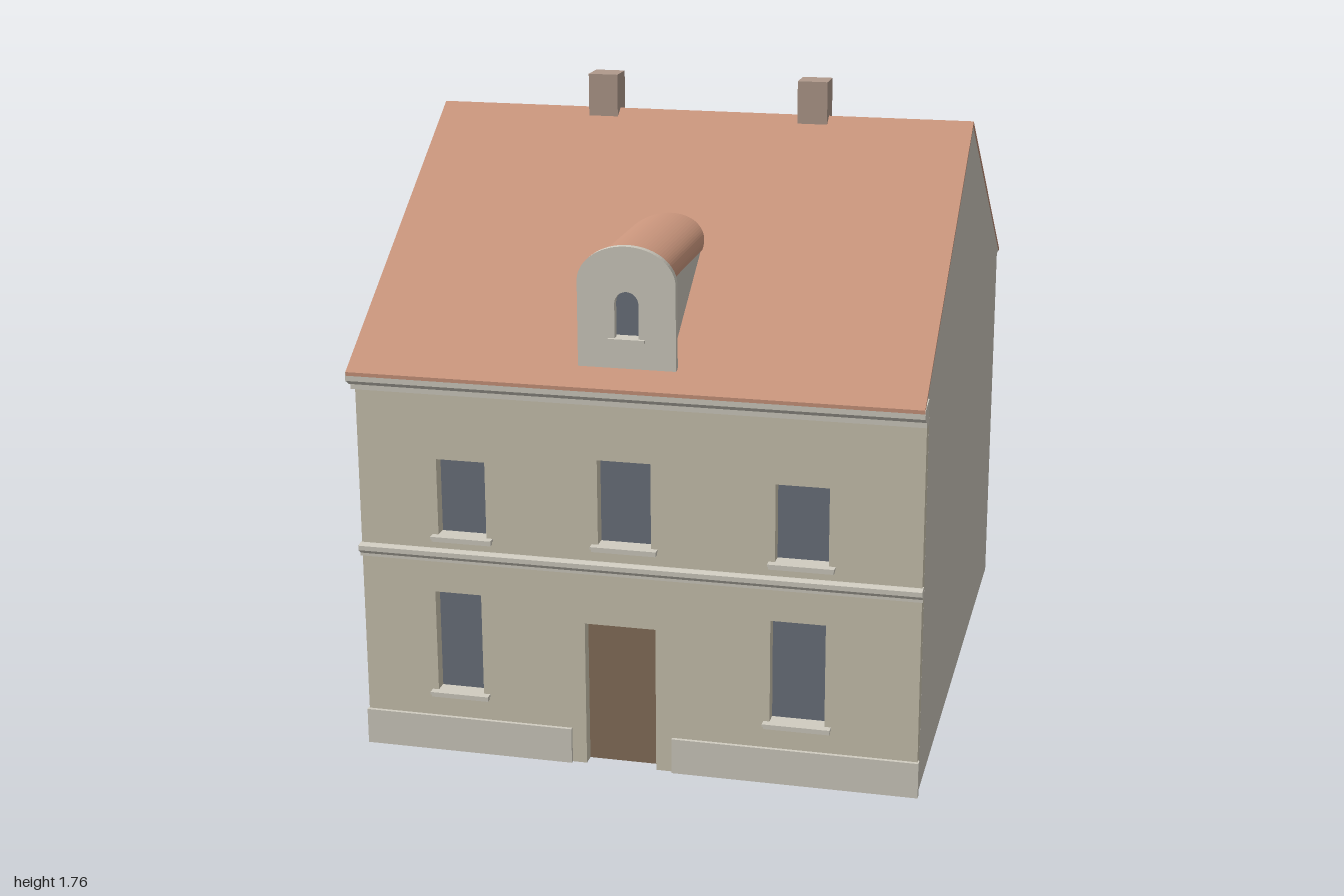
import * as THREE from 'three';

const mat = (color) => new THREE.MeshStandardMaterial({ color, flatShading: true });
const MAT = {
  wall: mat(0xc9c4ba), facade: mat(0xcbc4b0), trim: mat(0xd0ccc0), roof: mat(0xc9957c),
  chimney: mat(0xb09a8c), glass: mat(0x6c727d), door: mat(0x86705a),
};

// The plan is slightly skewed: the left and right walls spread towards the back
const leftX = (z) => -0.755 - 0.015 * (0.94 - z);
const rightX = (z) => 0.775 + 0.003 * (0.94 - z);

export function createModel() {
  const house = new THREE.Group();
  house.name = 'house';

  const add = (name, geometry, material) => {
    const mesh = new THREE.Mesh(geometry, material);
    mesh.name = name;
    house.add(mesh);
    return mesh;
  };

  // Box given by its limits
  const box = (name, material, x0, x1, y0, y1, z0, z1) => {
    const g = new THREE.BoxGeometry(x1 - x0, y1 - y0, z1 - z0);
    g.translate((x0 + x1) / 2, (y0 + y1) / 2, (z0 + z1) / 2);
    return add(name, g, material);
  };

  // Prism running along x between two side lines, from a [z, y] profile
  const prism = (name, material, profile, left = leftX, right = rightX) => {
    const shape = new THREE.Shape(profile.map(([z, y]) => new THREE.Vector2(z, y)));
    const g = new THREE.ExtrudeGeometry(shape, { depth: 1, bevelEnabled: false });
    g.rotateY(-Math.PI / 2);
    const p = g.attributes.position;
    for (let i = 0; i < p.count; i++) {
      const z = p.getZ(i);
      p.setX(i, THREE.MathUtils.lerp(right(z), left(z), -p.getX(i)));
    }
    g.computeVertexNormals();
    return add(name, g, material);
  };

  // Upright extrusion of an xy shape, from z0 to z1
  const plate = (name, material, shape, z0, z1) => {
    const g = new THREE.ExtrudeGeometry(shape, { depth: z1 - z0, bevelEnabled: false, curveSegments: 20 });
    g.translate(0, 0, z0);
    return add(name, g, material);
  };

  const rectPath = (x0, x1, y0, y1) => new THREE.Path([
    new THREE.Vector2(x0, y0), new THREE.Vector2(x0, y1),
    new THREE.Vector2(x1, y1), new THREE.Vector2(x1, y0),
  ]);

  // Rectangle with an elliptical arch on top
  const arch = (Type, x0, x1, y0, spring, top) => {
    const s = new Type();
    s.moveTo(x0, y0);
    s.lineTo(x1, y0);
    s.lineTo(x1, spring);
    s.absellipse((x0 + x1) / 2, spring, (x1 - x0) / 2, top - spring, 0, Math.PI, false);
    s.lineTo(x0, y0);
    return s;
  };

  // Main body with gables, and the roof over it
  prism('houseBody', MAT.wall, [
    [0.9, 0], [0.9, 1.085], [0.99, 1.085], [0.1, 1.652], [-0.785, 1.085], [-0.74, 1.085], [-0.74, 0],
  ]);
  prism('mainRoof', MAT.roof, [
    [1, 1.09], [0.1, 1.66], [-0.79, 1.09], [-0.79, 1.083], [0.1, 1.65], [1, 1.08],
  ], (z) => leftX(z) - 0.002, (z) => rightX(z) + 0.002);

  // Facade with openings for the windows and a notch for the door
  const facade = new THREE.Shape([
    [leftX(0.94), 0], [-0.13, 0], [-0.13, 0.41], [0.065, 0.41], [0.065, 0],
    [0.775, 0], [0.775, 1.085], [leftX(0.94), 1.085],
  ].map(([x, y]) => new THREE.Vector2(x, y)));
  const windows = [
    [-0.55, -0.42, 0.175, 0.465], [0.377, 0.525, 0.175, 0.465],
    [-0.535, -0.4, 0.63, 0.845], [-0.09, 0.055, 0.638, 0.875], [0.388, 0.53, 0.63, 0.845],
  ];
  for (const [x0, x1, y0, y1] of windows) {
    facade.holes.push(rectPath(x0, x1, y0, y1));
    box('windowPane', MAT.glass, x0, x1, y0, y1, 0.895, 0.904);
    box('windowSill', MAT.trim, x0 - 0.015, x1 + 0.016, y0 - 0.015, y0 - 0.005, 0.905, 0.956);
    box('windowSillCap', MAT.trim, x0 - 0.017, x1 + 0.018, y0 - 0.006, y0 + 0.001, 0.905, 0.962);
  }
  plate('facade', MAT.facade, facade, 0.9, 0.94);
  box('door', MAT.door, -0.13, 0.065, 0, 0.41, 0.895, 0.905);

  // Plinth on both sides of the door
  box('plinthRight', MAT.trim, -0.758, -0.17, 0, 0.1, 0.93, 0.95);
  box('plinthLeft', MAT.trim, 0.11, 0.779, 0, 0.1, 0.93, 0.95);

  // String course and eaves cornice
  const bandLeft = () => -0.758, bandRight = () => 0.778;
  prism('stringCourse', MAT.trim, [
    [0.93, 0.555], [0.948, 0.555], [0.948, 0.563], [0.962, 0.575], [0.962, 0.588], [0.945, 0.592], [0.93, 0.592],
  ], bandLeft, bandRight);
  prism('cornice', MAT.trim, [
    [0.93, 1.033], [0.965, 1.033], [0.965, 1.05], [0.975, 1.05], [0.998, 1.065], [0.998, 1.088], [0.93, 1.1],
  ], bandLeft, bandRight);

  // Rear annex and its lean-to roof
  prism('annex', MAT.wall, [
    [-0.72, 0], [-0.72, 1.12], [-0.975, 1.088], [-0.975, 0],
  ], () => -0.44, () => 0.4);
  prism('annexRoof', MAT.roof, [
    [-0.72, 1.135], [-1, 1.093], [-1, 1.085], [-0.72, 1.12],
  ], () => -0.47, () => 0.43);

  // Dormer: cheeks, barrel roof, arched front with a recessed window
  box('dormerCheeks', MAT.wall, -0.113, 0.105, 1.1, 1.37, 0.4, 0.9);
  plate('dormerRoof', MAT.roof, arch(THREE.Shape, -0.117, 0.109, 1.365, 1.372, 1.437), 0.4, 0.932);
  for (const [x0, x1] of [[-0.113, -0.05], [0.042, 0.105]]) {
    box('dormerCheekEnd', MAT.wall, x0, x1, 1.1, 1.37, 0.89, 0.93);
  }
  const front = arch(THREE.Shape, -0.135, 0.126, 1.132, 1.358, 1.455);
  front.holes.push(arch(THREE.Path, -0.036, 0.028, 1.212, 1.303, 1.336));
  plate('dormerFront', MAT.trim, front, 0.925, 0.945);
  box('dormerPane', MAT.glass, -0.05, 0.042, 1.2, 1.345, 0.9, 0.91);
  box('dormerSill', MAT.trim, -0.052, 0.045, 1.204, 1.212, 0.91, 0.955);

  // Chimneys on the ridge
  for (const x of [-0.325, 0.285]) {
    box('chimney', MAT.chimney, x, x + 0.085, 1.6, 1.76, 0.05, 0.132);
  }

  return house;
}
